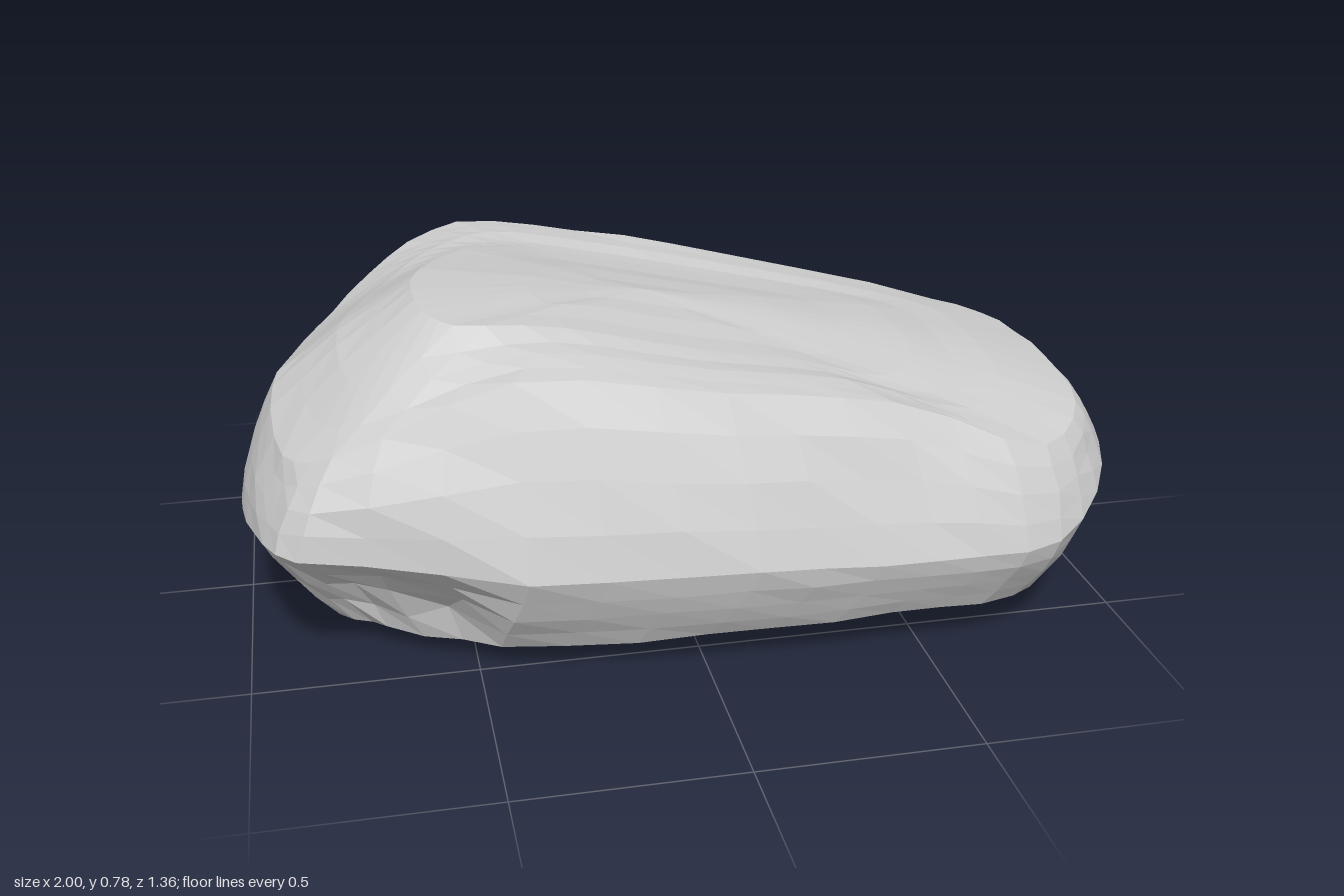
import * as THREE from 'three';

// Three contour rings, 17 points each, from the left end round by the front
const waist = [
  [-1, .30, .12], [-.97, .32, .36], [-.88, .33, .55], [-.4, .27, .625], [.1, .27, .67], [.5, .26, .675],
  [.79, .27, .665], [.96, .36, .48], [1, .40, .22], [.97, .38, 0], [.83, .34, -.21], [.3, .33, -.425],
  [-.15, .33, -.58], [-.42, .35, -.68], [-.68, .42, -.565], [-.87, .39, -.38], [-.97, .32, -.1]];
const rim = [
  [-.91, .56, .1], [-.89, .50, .36], [-.79, .53, .47], [-.4, .67, .465], [.05, .63, .52], [.43, .58, .53],
  [.77, .47, .575], [.91, .50, .42], [.92, .53, .2], [.89, .54, -.02], [.76, .565, -.15], [.25, .66, -.33],
  [-.12, .71, -.45], [-.42, .73, -.52], [-.61, .68, -.42], [-.76, .60, -.25], [-.86, .575, -.05]];
const foot = [
  [-.84, .07, .1], [-.8, .06, .3], [-.7, .05, .4], [-.45, .05, .5], [0, .08, .59], [.42, .1, .61],
  [.72, .1, .59], [.85, .08, .42], [.87, .07, .15], [.83, .07, -.05], [.7, .08, -.14], [.2, .08, -.31],
  [-.15, .08, -.44], [-.4, .08, -.54], [-.6, .08, -.47], [-.77, .07, -.3], [-.84, .07, -.1]];

const AROUND = 51, SEG = 4, UP = 5 * SEG;
const base = new THREE.Vector3(-.33, 0, .07);

// Height of the sloping upper face
function topHeight(x, z) {
  const front = Math.max(0, z - .1);
  return .78 - .17 * Math.max(0, x + .42) - .55 * Math.max(0, -.62 - x)
    - .6 * front * front - .12 * Math.max(0, -z);
}

// Repeatable jitter for the chipped surface
function jitter(i, j, k) {
  const s = Math.sin(i * 12.99 + j * 78.23 + k * 37.72) * 43758.55;
  return s - Math.floor(s) - .5;
}

// Broken hollows: centre, radius, push direction
const hollows = [
  { at: new THREE.Vector3(-.72, .19, .5), r: .27, push: new THREE.Vector3(.03, .01, -.1) },
  { at: new THREE.Vector3(-.58, .10, .52), r: .15, push: new THREE.Vector3(0, .03, -.04) },
  { at: new THREE.Vector3(.93, .17, .18), r: .2, push: new THREE.Vector3(-.04, .01, 0) },
];

function closedCurve(points) {
  return new THREE.CatmullRomCurve3(points.map(p => new THREE.Vector3(...p)), true, 'centripetal');
}

// Point on a column: mostly planar faces with softened edges
function columnPoint(knots, curve, j) {
  const k = Math.min(Math.floor(j / SEG), knots.length - 2);
  const straight = knots[k].clone().lerp(knots[k + 1], j / SEG - k);
  return straight.lerp(curve.getPoint(j / UP), .35);
}

function rockGeometry() {
  const rings = [foot, waist, rim].map(closedCurve);
  const crown = new THREE.Vector3(-.05, topHeight(-.05, .06), .06);
  const pos = [], index = [];
  for (let i = 0; i < AROUND; i++) {
    const [f, w, r] = rings.map(c => c.getPoint(i / AROUND));
    const inner = r.clone().lerp(crown, .38);
    inner.y = topHeight(inner.x, inner.z);
    const knots = [base, f, w, r, inner, crown];
    const curve = new THREE.CatmullRomCurve3(knots, false, 'centripetal');
    for (let j = 0; j <= UP; j++) {
      const p = columnPoint(knots, curve, j);
      // Chips on the sides only, so the upper and lower faces stay smooth
      if (j >= SEG && j <= 3 * SEG) {
        let rough = .006;
        for (const h of hollows) {
          const d = p.distanceTo(h.at) / h.r;
          if (d < 1) {
            const k = (1 - d * d) ** 2;
            p.addScaledVector(h.push, k);
            rough += .035 * k;
          }
        }
        p.x += rough * jitter(i, j, 1);
        p.y += rough * jitter(i, j, 2);
        p.z += rough * jitter(i, j, 3);
      }
      // Shallow worn terraces on the upper face
      if (j > 3 * SEG) p.y -= .004 * Math.sin((UP - j) * 1.6) ** 2;
      pos.push(p.x, p.y, p.z);
    }
  }
  const id = (i, j) => (i % AROUND) * (UP + 1) + j;
  for (let i = 0; i < AROUND; i++) {
    for (let j = 0; j < UP; j++) {
      const a = id(i, j), b = id(i + 1, j), c = id(i + 1, j + 1), d = id(i, j + 1);
      if (j > 0) index.push(a, b, d);
      if (j < UP - 1) index.push(b, c, d);
    }
  }
  const g = new THREE.BufferGeometry();
  g.setAttribute('position', new THREE.Float32BufferAttribute(pos, 3));
  g.setIndex(index);
  g.computeVertexNormals();
  return g;
}

export function createModel() {
  const group = new THREE.Group();
  group.name = 'boulder';
  const rock = new THREE.Mesh(rockGeometry(),
    new THREE.MeshStandardMaterial({ color: 0xcccccc, flatShading: true }));
  rock.name = 'rock';
  group.add(rock);
  return group;
}
